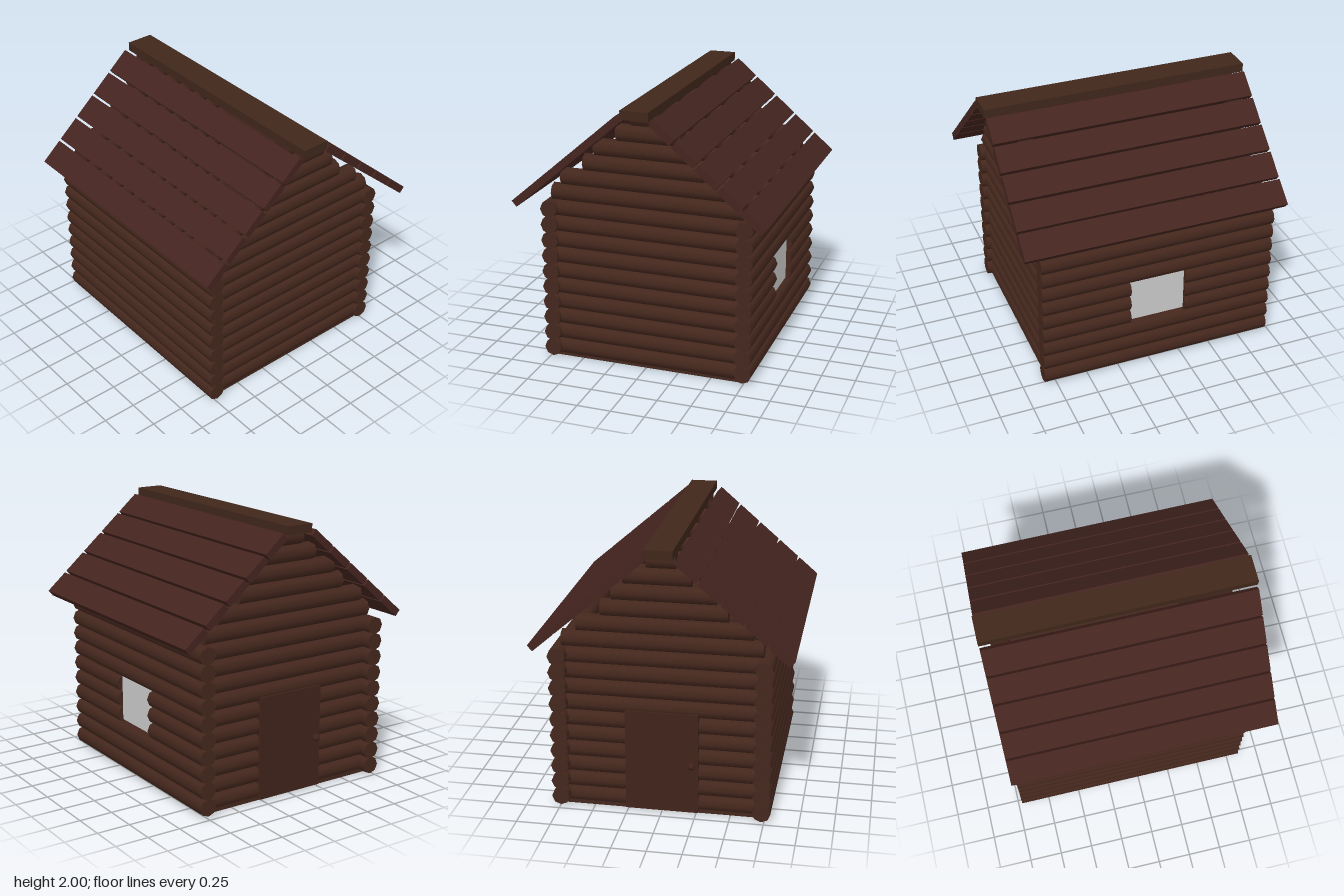
import * as THREE from 'three';

const mat = (color) => new THREE.MeshStandardMaterial({ color });
const logMat = mat(0x44271d);
const roofMat = mat(0x44241f);
const ridgeMat = mat(0x40271b);
const doorMat = mat(0x40231a);
const glassMat = mat(0xcccccc);

const R = 0.066;       // log radius
const STEP = 0.1217;   // height of one log course

export function createModel() {
  const model = new THREE.Group();

  const group = (name) => {
    const g = new THREE.Group();
    g.name = name;
    model.add(g);
    return g;
  };
  const add = (parent, name, geometry, material, x, y, z) => {
    const mesh = new THREE.Mesh(geometry, material);
    mesh.name = name;
    mesh.position.set(x, y, z);
    parent.add(mesh);
    return mesh;
  };
  // Eight-sided logs lying along x or z, given by their two ends
  const logX = (parent, x0, x1, y, z) => {
    const g = new THREE.CylinderGeometry(R, R, x1 - x0, 8).rotateZ(Math.PI / 2);
    add(parent, 'log', g, logMat, (x0 + x1) / 2, y, z);
  };
  const logZ = (parent, z0, z1, x, y) => {
    const g = new THREE.CylinderGeometry(R, R, z1 - z0, 8).rotateX(Math.PI / 2);
    add(parent, 'log', g, logMat, x, y, (z0 + z1) / 2);
  };

  // Floor
  add(model, 'floor', new THREE.BoxGeometry(1.44, 0.03, 1.7), logMat, 0, 0.015, -0.05);

  // Side walls; courses 3 to 5 of the left one are cut for the window
  const rightWall = group('rightWall');
  const leftWall = group('leftWall');
  for (let i = 0; i < 10; i++) {
    const y = 0.07 + i * STEP;
    logZ(rightWall, -0.97, 0.84, -0.73, y);
    if (i >= 3 && i <= 5) {
      logZ(leftWall, -0.97, -0.27, 0.743, y + 0.01);
      logZ(leftWall, 0.16, 0.84, 0.743, y + 0.01);
    } else {
      logZ(leftWall, -0.97, 0.84, 0.743, y + 0.01);
    }
  }

  // Recessed window pane
  add(model, 'windowPane', new THREE.BoxGeometry(0.04, 0.36, 0.43), glassMat, 0.745, 0.585, -0.055);

  // Front and back walls with stepped gables
  const gable = [[-0.715, 0.72], [-0.64, 0.61], [-0.465, 0.435], [-0.38, 0.355], [-0.21, 0.27], [-0.1, 0.105]];
  for (const [name, z] of [['frontWall', 0.755], ['backWall', -0.85]]) {
    const wall = group(name);
    for (let i = 0; i < 16; i++) {
      const [x0, x1] = i < 10 ? gable[0] : gable[i - 10];
      logX(wall, x0, x1, 0.07 + i * STEP, z);
    }
  }

  // Door in the back wall
  add(model, 'door', new THREE.BoxGeometry(0.53, 0.77, 0.09), doorMat, 0, 0.395, -0.88);
  add(model, 'doorKnob', new THREE.SphereGeometry(0.027, 12, 8), doorMat, -0.22, 0.39, -0.945);

  // Roof: five planks down each slope
  const slope = Math.atan2(0.705, 0.815);
  const pitch = 0.2155;
  for (const side of [-1, 1]) {
    const roof = group(side < 0 ? 'rightRoof' : 'leftRoof');
    for (let i = 0; i < 5; i++) {
      const d = pitch * (i + 0.5);
      const plank = add(roof, 'plank', new THREE.BoxGeometry(0.197, 0.055, 1.99), roofMat,
        side * (0.115 + d * Math.cos(slope)), 1.938 - d * Math.sin(slope), 0);
      plank.rotation.z = -side * slope;
    }
  }

  // Ridge beam
  add(model, 'ridgeBeam', new THREE.BoxGeometry(0.205, 0.065, 2), ridgeMat, 0.003, 1.9675, 0);

  return model;
}
